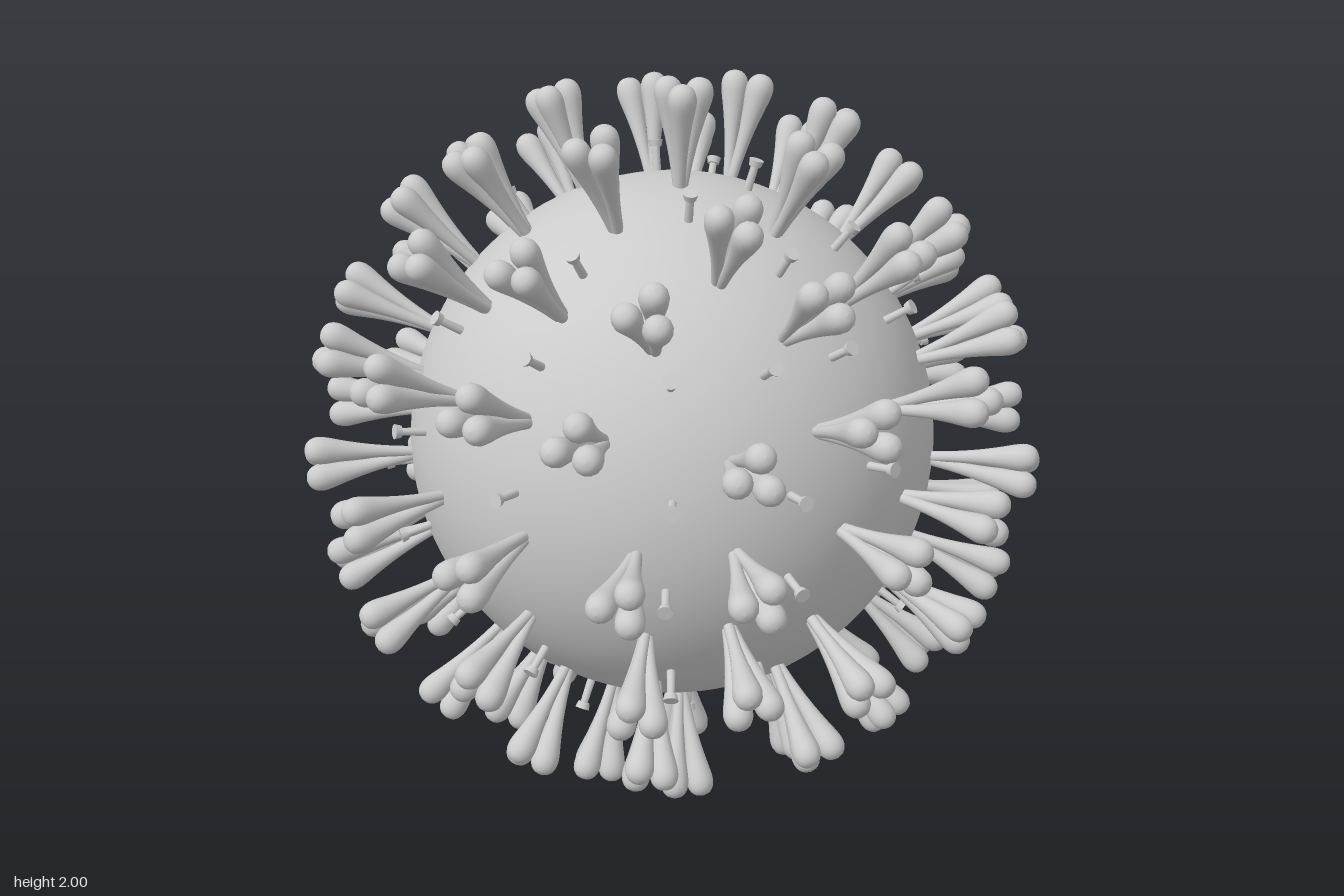
import * as THREE from 'three';
import { mergeGeometries } from 'three/addons/utils/BufferGeometryUtils.js';

const material = new THREE.MeshStandardMaterial({ color: 0xcccccc, roughness: 0.7 });
const rad = THREE.MathUtils.degToRad;

// Lathe from [radius, height] pairs, smoothed through a spline
function lathe(pairs, samples, sides) {
  const curve = new THREE.SplineCurve(pairs.map(([r, h]) => new THREE.Vector2(r, h)));
  return new THREE.LatheGeometry(
    curve.getPoints(samples).map(p => new THREE.Vector2(Math.max(p.x, 0), p.y)), sides);
}

// Three leaning clubs that share a stalk, standing on y = 0
function spikeGeometry() {
  const clubs = [];
  for (let i = 0; i < 3; i++) {
    const club = lathe([[0.014, 0], [0.015, 0.08], [0.02, 0.15], [0.028, 0.21], [0.035, 0.25],
      [0.037, 0.275], [0.032, 0.295], [0.019, 0.309], [0, 0.314]], 18, 14);
    club.rotateZ(rad(-9));
    club.translate(0.003, 0, 0);
    club.rotateY(i * Math.PI * 2 / 3);
    clubs.push(club);
  }
  return mergeGeometries(clubs);
}

// Thin stalk with a small flat head
function pinGeometry() {
  const stalk = new THREE.CylinderGeometry(0.01, 0.012, 0.1, 10);
  stalk.translate(0, 0.05, 0);
  const head = new THREE.CylinderGeometry(0.02, 0.016, 0.018, 12);
  head.translate(0, 0.1, 0);
  return mergeGeometries([stalk, head]);
}

// Direction from latitude towards +x and angle about x (from +z up to +y)
function ringDirection(lat, phi) {
  const a = rad(lat), b = rad(phi);
  return new THREE.Vector3(Math.sin(a), Math.cos(a) * Math.sin(b), Math.cos(a) * Math.cos(b));
}

// Stand a part on the sphere along dir, its local x turned towards hint
function plant(parent, geometry, name, dir, radius, hint) {
  const x = hint.clone().addScaledVector(dir, -hint.dot(dir)).normalize();
  const z = new THREE.Vector3().crossVectors(x, dir);
  const mesh = new THREE.Mesh(geometry, material);
  mesh.name = name;
  mesh.quaternion.setFromRotationMatrix(new THREE.Matrix4().makeBasis(x, dir, z));
  mesh.position.copy(dir).multiplyScalar(radius);
  parent.add(mesh);
}

// Spike rings as [latitude, angle], repeated every quarter turn about x
const quarterSpikes = [
  [2, 0], [0, 24], [0, 46], [0, 69],
  [26, 0], [17, 24], [20.8, 45.5], [25.5, 66.5],
  [-23.5, 0], [-20, 24], [-20.8, 45], [-23.8, 67],
  [46, 0], [42.5, 26], [42.5, 64], [-46, 0], [-42.5, 26], [-42.5, 64],
  [70, 0], [58, 45], [-70, 0], [-58, 45],
];

function both(u, v) { return [[u, v], [-u, v]]; }
function four(u, v) { return [...both(u, v), ...both(u, -v)]; }

// Pin tips on each side, as offsets [u, v] across that side
const sidePins = [...both(0.15, -0.1), ...both(0.43, -0.1), ...both(0.16, 0.46), ...both(0.16, -0.43)];
const pinFaces = [
  { pins: [[0, 0.13], [-0.165, -0.165], [-0.43, 0.15], [0.43, 0.16], [-0.44, -0.165],
    [0.42, -0.11], [0, 0.46], [0, -0.43]], place: (u, v, w) => [u, v, w] },
  { pins: [...four(0.16, 0.16), ...both(0.45, 0.17), ...both(0.44, -0.13), ...both(0.16, 0.46), [0, -0.45]],
    place: (u, v, w) => [u, w, -v] },
  { pins: [...four(0.16, 0.16), ...four(0.44, 0.15), [0, -0.45]], place: (u, v, w) => [u, v, -w] },
  { pins: [...four(0.16, 0.16), ...four(0.44, 0.15), [0, 0.45]], place: (u, v, w) => [u, -w, v] },
  { pins: [...sidePins, [-0.16, 0.16], [-0.42, 0.15]], place: (u, v, w) => [w, v, -u] },
  { pins: sidePins, place: (u, v, w) => [-w, v, -u] },
];

export function createModel() {
  const model = new THREE.Group();
  model.name = 'spikedSphere';
  model.position.y = 1;

  // Round body
  const body = new THREE.Mesh(new THREE.SphereGeometry(0.716, 72, 48), material);
  body.name = 'body';
  model.add(body);

  // Large three-lobed spikes
  const spikes = new THREE.Group();
  spikes.name = 'spikes';
  const spike = spikeGeometry();
  const minusX = new THREE.Vector3(-1, 0, 0);
  for (let turn = 0; turn < 360; turn += 90) {
    for (const [lat, phi] of quarterSpikes) {
      const hint = phi === 0 ? minusX : ringDirection(0, phi + turn + 90);
      plant(spikes, spike, 'spike', ringDirection(lat, phi + turn), 0.69, hint);
    }
  }
  for (const s of [1, -1]) {
    plant(spikes, spike, 'spike', new THREE.Vector3(s, 0, 0), 0.69, new THREE.Vector3(0, 0, 1));
  }
  model.add(spikes);

  // Small pins between the spikes
  const pins = new THREE.Group();
  pins.name = 'pins';
  const pin = pinGeometry();
  const addPin = (x, y, z) => plant(pins, pin, 'pin', new THREE.Vector3(x, y, z).normalize(), 0.69,
    new THREE.Vector3(0.3, 0.9, -0.2));
  for (const { pins: list, place } of pinFaces) {
    for (const [u, v] of list) addPin(...place(u, v, Math.sqrt(0.64 - u * u - v * v)));
  }
  // Pairs of pins around the eight diagonals
  for (const sx of [1, -1]) for (const sy of [1, -1]) for (const sz of [1, -1]) {
    addPin(0.36 * sx, 0.45 * sy, 0.555 * sz);
    addPin(0.54 * sx, 0.46 * sy, 0.37 * sz);
  }
  model.add(pins);

  const root = new THREE.Group();
  root.name = 'model';
  root.add(model);
  return root;
}
